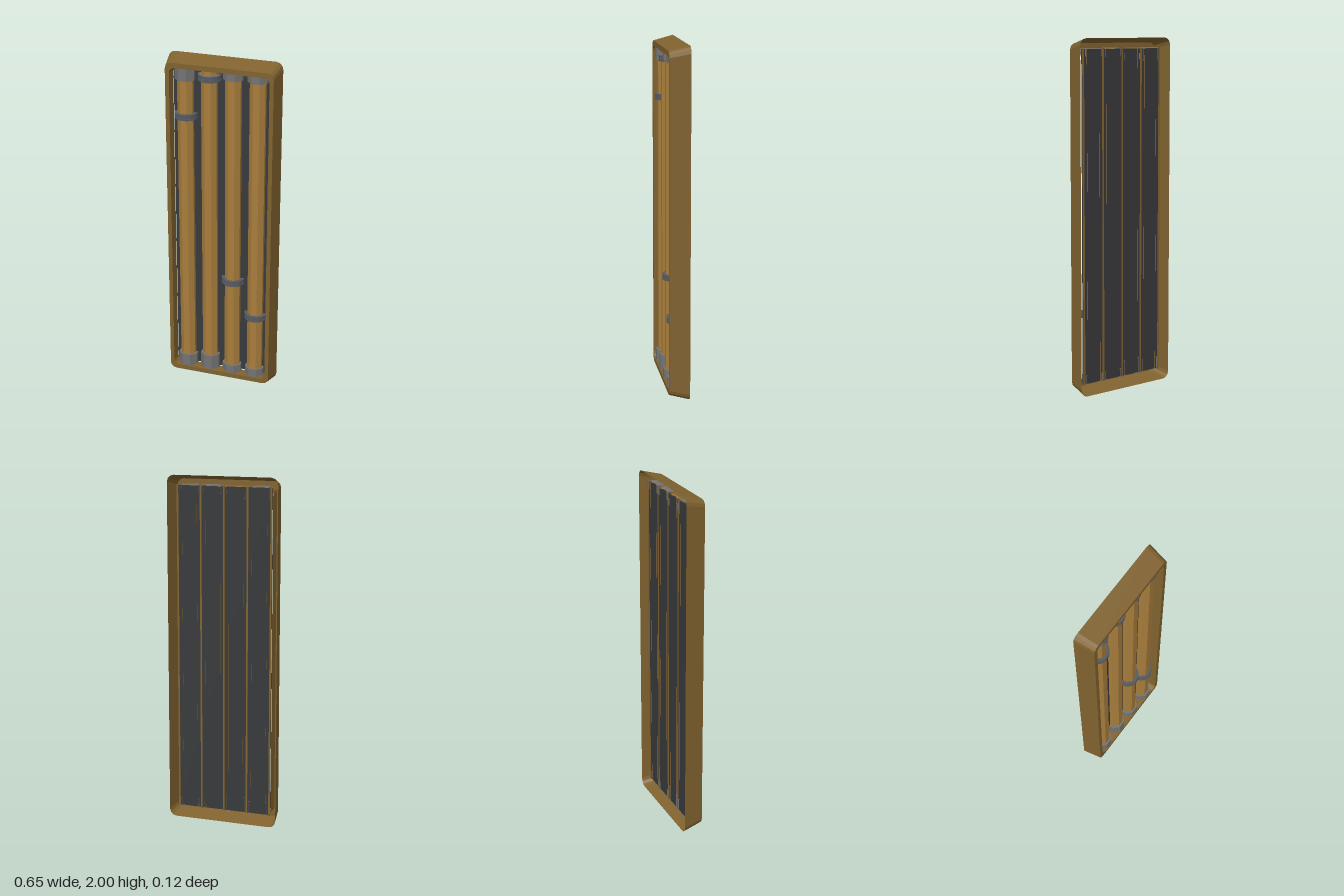
import * as THREE from 'three';

const mat = (name, color, opts = {}) => {
  const m = new THREE.MeshStandardMaterial({ color, flatShading: true, side: THREE.DoubleSide, ...opts });
  m.name = name;
  return m;
};

// Rounded rectangle outline, same point count for any size
function outline(w, h, r, z) {
  const pts = [];
  const corners = [[1, 1, 0], [-1, 1, 1], [-1, -1, 2], [1, -1, 3]];
  for (const [sx, sy, q] of corners) {
    for (let i = 0; i <= 3; i++) {
      const a = (q + i / 3) * Math.PI / 2;
      pts.push([sx * (w - r) + r * Math.cos(a), 1 + sy * (h - r) + r * Math.sin(a), z]);
    }
  }
  return pts;
}

// Skin between successive outlines
function loft(rings) {
  const n = rings[0].length, pos = rings.flat(2), idx = [];
  for (let k = 0; k < rings.length - 1; k++) {
    for (let i = 0; i < n; i++) {
      const a = k * n + i, b = k * n + (i + 1) % n;
      idx.push(a, b, b + n, a, b + n, a + n);
    }
  }
  const g = new THREE.BufferGeometry();
  g.setAttribute('position', new THREE.Float32BufferAttribute(pos, 3));
  g.setIndex(idx);
  const flat = g.toNonIndexed();
  flat.computeVertexNormals();
  return flat;
}

export function createModel() {
  const group = new THREE.Group();
  const frameMat = mat('frame brown', 0x80622f);
  const tubeMat = mat('tube tan', 0xa87d3c);
  const capMat = mat('cap grey', 0x737373);
  const ringMat = mat('ring grey', 0x565a60);
  const panelMat = mat('panel dark', 0x38393b);

  const add = (parent, name, geo, material, x = 0, y = 0, z = 0) => {
    const m = new THREE.Mesh(geo, material);
    m.name = name;
    m.position.set(x, y, z);
    parent.add(m);
    return m;
  };

  // Tapered frame: outer wall, front rim and inner lip
  add(group, 'frame', loft([
    outline(0.325, 1.0, 0.04, -0.06),
    outline(0.306, 0.972, 0.035, 0.055),
    outline(0.283, 0.943, 0.03, 0.055),
    outline(0.278, 0.94, 0.03, 0.0),
  ]), frameMat);

  // Backing panel with thin seams on the rear
  add(group, 'backPanel', new THREE.BoxGeometry(0.558, 1.88, 0.012), panelMat, 0, 1, -0.016);
  for (let i = 0; i < 5; i++) {
    add(group, 'backSeam', new THREE.BoxGeometry(0.01, 1.89, 0.004), frameMat, (i - 2) * 0.138, 1, -0.023);
  }

  // Front part of an octagonal cylinder standing between y0 and y1
  const halfTube = (parent, name, r, y0, y1, material, x) => {
    const step = Math.PI / 4;
    const g = new THREE.CylinderGeometry(r, r, y1 - y0, 5, 1, false, -2.5 * step, 5 * step);
    return add(parent, name, g, material, x, (y0 + y1) / 2, -0.005);
  };

  // Four tubes: bottom cap top, top cap [from, to], clamp height
  const tubes = [
    { x: -0.208, bottom: 0.13, top: [1.87, 1.945], ring: 1.66 },
    { x: -0.07, bottom: 0.15, top: [1.88, 1.915], ring: 1.895 },
    { x: 0.067, bottom: 0.108, top: [1.9, 1.945], ring: 0.667 },
    { x: 0.206, bottom: 0.108, top: [1.9, 1.945], ring: 0.455 },
  ];
  for (const t of tubes) {
    const unit = new THREE.Group();
    unit.name = 'tubeUnit';
    halfTube(unit, 'tube', 0.048, 0.06, 1.94, tubeMat, t.x);
    halfTube(unit, 'bottomCap', 0.06, 0.058, t.bottom, capMat, t.x);
    halfTube(unit, 'topCap', 0.06, t.top[0], t.top[1], capMat, t.x);
    // Clamp: two bands with a slimmer core
    const band = (r, h, y) => add(unit, 'clampBand',
      new THREE.CylinderGeometry(r, r, h, 10, 1, false, -Math.PI / 2, Math.PI), ringMat, t.x, y, -0.01);
    band(0.067, 0.011, t.ring - 0.011);
    band(0.064, 0.012, t.ring);
    band(0.067, 0.011, t.ring + 0.011);
    group.add(unit);
  }
  return group;
}
